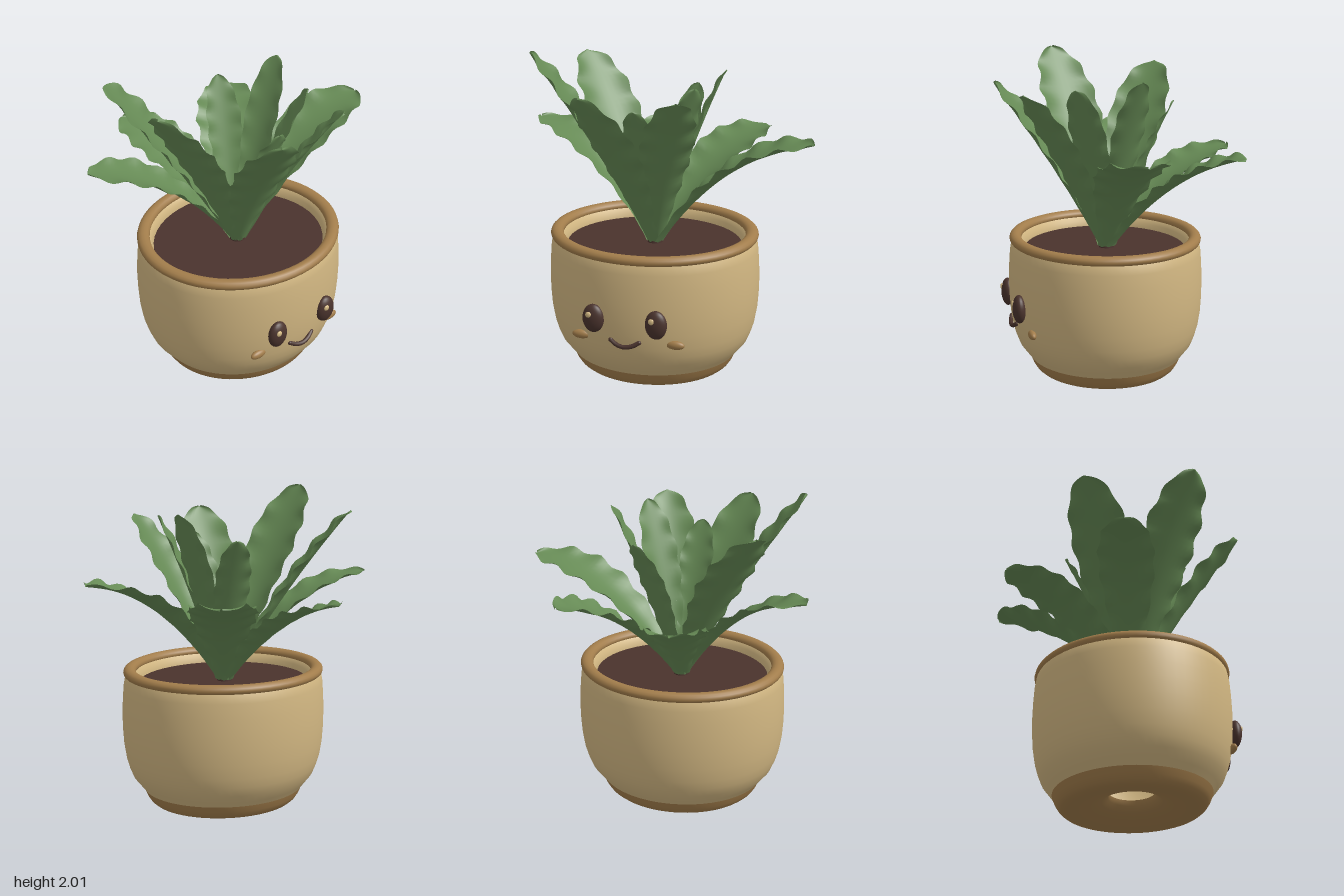
import * as THREE from 'three';

const mat = (name, color, side = THREE.FrontSide) => {
  const m = new THREE.MeshStandardMaterial({ color, side });
  m.name = name;
  return m;
};
const v2 = (pts) => pts.map(([x, y]) => new THREE.Vector2(x, y));

// Half-width of a leaf along its length: (position, fraction of full width)
const leafOutline = new THREE.SplineCurve(v2([
  [0, 0.28], [0.15, 0.45], [0.35, 0.74], [0.58, 0.98], [0.76, 0.96],
  [0.9, 0.72], [0.97, 0.42], [1, 0.04],
]));

// Leaf from a plane bent along an arch, cupped and rippled at the edges
function leafGeometry(reach, base, top, width, arch, waves) {
  const cols = 10, rows = 48;
  const g = new THREE.PlaneGeometry(1, 1, cols, rows);
  const spine = new THREE.QuadraticBezierCurve(
    new THREE.Vector2(0.04, base),
    new THREE.Vector2(reach * (0.5 - 0.04 * arch), base + (top - base) * (0.53 + 0.37 * arch)),
    new THREE.Vector2(reach, top));
  const p = g.attributes.position;
  for (let i = 0; i < p.count; i++) {
    const s = p.getX(i) * 2;
    const o = leafOutline.getPoint(p.getY(i) + 0.5);
    const t = THREE.MathUtils.clamp(o.x, 0, 1);
    const c = spine.getPoint(t), d = spine.getTangent(t);
    const phase = t * waves * Math.PI * 2;
    const grow = Math.min(1, t * 2.5);
    const half = (width / 2) * Math.max(o.y, 0.03) * (1 + 0.05 * grow * Math.sin(phase));
    // Fold is deeper near the base, ripple stronger toward the edge
    const lift = s * s * half * (0.45 - 0.3 * t)
      + Math.abs(s) ** 3 * grow * width * 0.035 * Math.cos(phase + (s > 0 ? 0.8 : 0));
    p.setXYZ(i, s * half, c.y + d.x * lift, c.x - d.y * lift);
  }
  g.computeVertexNormals();
  return g;
}

export function createModel() {
  const model = new THREE.Group();
  model.name = 'pottedPlant';
  const clay = mat('tan clay', 0xd2b782);
  const trim = mat('brown glaze', 0xa27d4b);
  const dark = mat('dark brown', 0x4a332d);
  const green = mat('leaf green', 0x668a55, THREE.DoubleSide);

  const add = (parent, name, geometry, material, x = 0, y = 0, z = 0) => {
    const mesh = new THREE.Mesh(geometry, material);
    mesh.name = name;
    mesh.position.set(x, y, z);
    parent.add(mesh);
    return mesh;
  };
  const cx = -0.06, cz = 0.11;

  // Pot, slightly shallower than wide
  const pot = new THREE.Group();
  pot.name = 'pot';
  pot.position.set(cx, 0, cz);
  pot.scale.z = 0.92;
  model.add(pot);

  // Wall: up the outside, over the lip and down the inside to the drain hole
  add(pot, 'potWall', new THREE.LatheGeometry(v2([
    [0.527, 0.1], [0.555, 0.135], [0.6, 0.19], [0.625, 0.25], [0.643, 0.31], [0.658, 0.4],
    [0.665, 0.5], [0.667, 0.6], [0.663, 0.7], [0.656, 0.79], [0.645, 0.85], [0.62, 0.88],
    [0.585, 0.87], [0.565, 0.83], [0.55, 0.78], [0.56, 0.5], [0.51, 0.25], [0.4, 0.16], [0.15, 0.12],
  ]), 64), clay);

  // Foot with rounded underside and drain hole
  add(pot, 'potFoot', new THREE.LatheGeometry(v2([
    [0.15, 0.12], [0.158, 0.085], [0.2, 0.055], [0.27, 0.03], [0.35, 0.01], [0.42, 0],
    [0.465, 0.01], [0.49, 0.03], [0.51, 0.06], [0.527, 0.1],
  ]), 64), trim);

  const rim = add(pot, 'potRim', new THREE.TorusGeometry(0.617, 0.041, 14, 64), trim, 0, 0.87, 0);
  rim.rotation.x = Math.PI / 2;
  rim.scale.z = 0.78;

  add(pot, 'soil', new THREE.CylinderGeometry(0.553, 0.553, 0.02, 48), dark, 0, 0.79, 0);

  // Face
  const ball = new THREE.SphereGeometry(1, 24, 16);
  for (const side of [-1, 1]) {
    const name = side < 0 ? 'right' : 'left';
    add(model, name + 'Eye', ball, dark, cx + side * 0.198, 0.49, 0.708).scale.set(0.068, 0.09, 0.042);
    add(model, name + 'EyeGlint', ball, clay, cx + side * 0.198 - 0.019, 0.522, 0.744).scale.set(0.019, 0.019, 0.01);
    add(model, name + 'Cheek', ball, trim, cx + side * 0.3, 0.35, 0.648).scale.set(0.058, 0.028, 0.024);
  }
  const smile = new THREE.CatmullRomCurve3([
    [-0.09, 0.362, 0.705], [-0.05, 0.34, 0.718], [0, 0.33, 0.724], [0.05, 0.34, 0.718], [0.09, 0.362, 0.705],
  ].map(([x, y, z]) => new THREE.Vector3(cx + x, y, z)));
  add(model, 'mouth', new THREE.TubeGeometry(smile, 24, 0.014, 8), dark);
  for (const end of [0, 1]) {
    const p = smile.getPoint(end);
    add(model, 'mouthEnd', ball, dark, p.x, p.y, p.z).scale.setScalar(0.014);
  }

  // Stem
  const plant = new THREE.Group();
  plant.name = 'plant';
  plant.position.set(cx, 0, 0.1);
  model.add(plant);
  add(plant, 'stem', new THREE.CylinderGeometry(0.04, 0.05, 0.13, 16), dark, 0, 0.86, 0);
  add(plant, 'stemTip', ball, dark, 0, 0.92, 0).scale.set(0.04, 0.025, 0.04);

  // Leaves: tip x, y, z, width, arch (0 straight, 1 spreading)
  const leaves = [
    [0.94, 1.5, 0.1, 0.42, 1],
    [0.47, 1.43, -0.64, 0.42, 0.8],
    [-0.29, 1.385, -0.77, 0.39, 0.8],
    [-0.945, 1.475, -0.22, 0.34, 1],
    [-0.68, 1.9, -0.39, 0.38, 0.1],
    [-0.8, 2.0, 0.29, 0.38, 0.1],
    [-0.31, 1.845, 0.765, 0.36, 0.1],
    [0.25, 1.84, 0.68, 0.32, 0.1],
    [-0.07, 1.72, 0.49, 0.22, 0.1],
    [0.27, 1.855, 0.365, 0.24, 0.1],
    [0.36, 1.905, -0.02, 0.22, 0.1],
    [0.11, 1.75, -0.29, 0.22, 0.1],
  ];
  leaves.forEach(([x, y, z, width, arch], i) => {
    const dx = x - cx, dz = z - 0.1;
    const geometry = leafGeometry(Math.hypot(dx, dz), 0.8, y, width, arch, 6 + (i % 3) * 0.5);
    add(plant, 'leaf' + (i + 1), geometry, green).rotation.y = Math.atan2(dx, dz);
  });

  return model;
}
